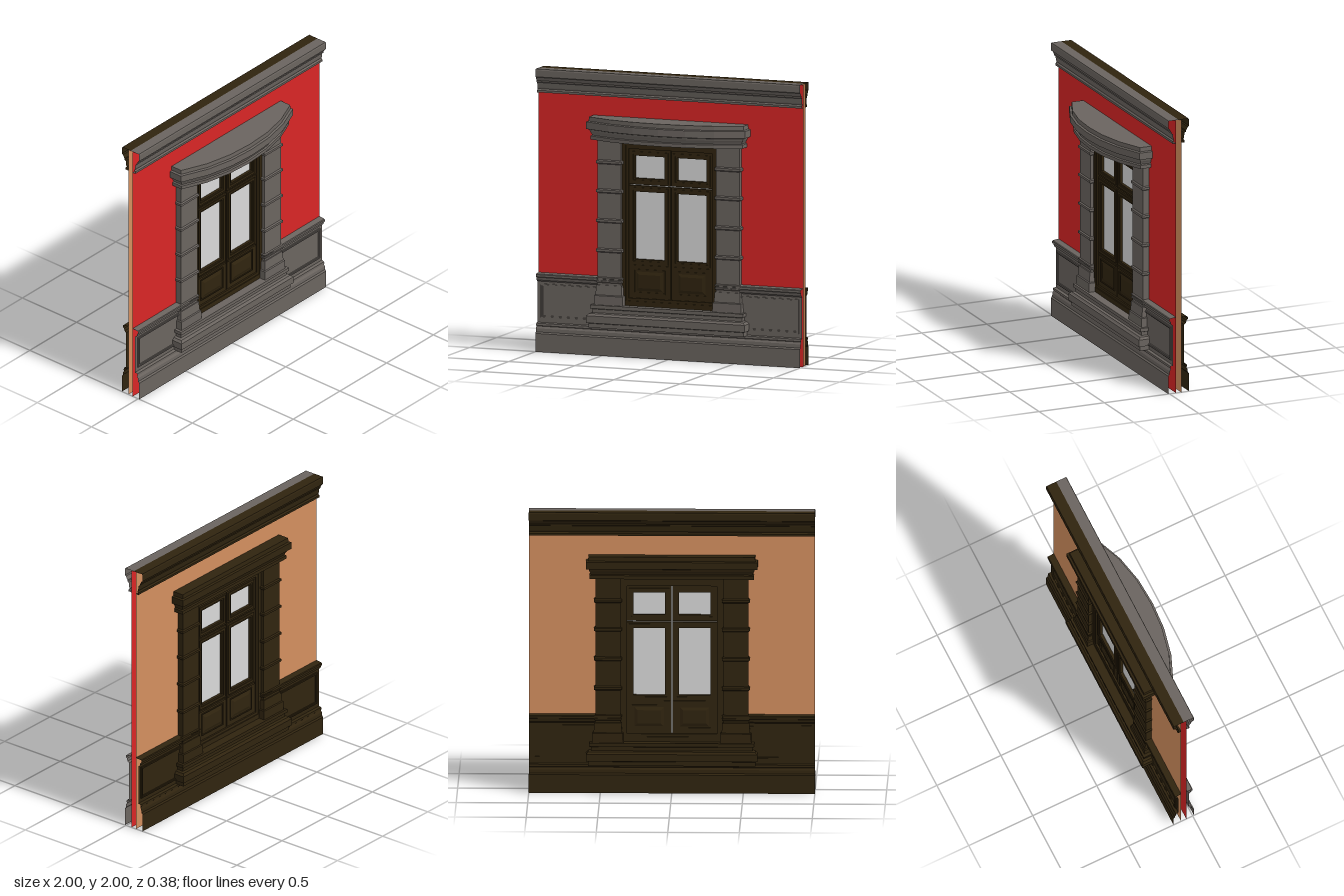
import * as THREE from 'three';

const MID = -0.07; // centre plane of the wall

const mat = (name, color) => {
  const m = new THREE.MeshStandardMaterial({ color, side: THREE.DoubleSide });
  m.name = name;
  return m;
};

function add(group, name, geometry, material) {
  const mesh = new THREE.Mesh(geometry, material);
  mesh.name = name;
  group.add(mesh);
  return mesh;
}

// Plan path [x, z] pushed outward by a distance, with mitred corners
function offsetPath(path, o) {
  const normals = path.slice(1).map(([x, z], i) => {
    const dx = x - path[i][0], dz = z - path[i][1], l = Math.hypot(dx, dz);
    return [-dz / l, dx / l];
  });
  return path.map(([x, z], i) => {
    const a = normals[Math.max(i - 1, 0)], b = normals[Math.min(i, normals.length - 1)];
    const k = o / (1 + a[0] * b[0] + a[1] * b[1]);
    return [x + (a[0] + b[0]) * k, z + (a[1] + b[1]) * k];
  });
}

// Moulding: a profile of [y, offset] swept along a plan path
function sweep(path, profile) {
  const rows = profile.map(([y, o]) => offsetPath(path, o).map(([x, z]) => [x, y, z]));
  const pos = [];
  for (let r = 0; r < rows.length - 1; r++) {
    for (let i = 0; i < path.length - 1; i++) {
      const a = rows[r][i], b = rows[r][i + 1], c = rows[r + 1][i + 1], d = rows[r + 1][i];
      pos.push(...a, ...b, ...c, ...a, ...c, ...d);
    }
  }
  const g = new THREE.BufferGeometry();
  g.setAttribute('position', new THREE.Float32BufferAttribute(pos, 3));
  g.computeVertexNormals();
  return g;
}

// Flat lid over a swept moulding
function lid(path, [y, o], up) {
  const pts = offsetPath(path, o).map(([x, z]) => new THREE.Vector2(x, up ? -z : z));
  return new THREE.ShapeGeometry(new THREE.Shape(pts))
    .rotateX(up ? -Math.PI / 2 : Math.PI / 2).translate(0, y, 0);
}

const rect = (Type, x0, y0, x1, y1) => new Type([[x0, y0], [x1, y0], [x1, y1], [x0, y1]]
  .map(([x, y]) => new THREE.Vector2(x, y)));

// Upright plate with an optional rectangular opening, from z0 to z1
function plate(outer, hole, z0, z1) {
  const s = rect(THREE.Shape, ...outer);
  if (hole) s.holes.push(rect(THREE.Path, ...hole));
  const g = z1 === undefined ? new THREE.ShapeGeometry(s)
    : new THREE.ExtrudeGeometry(s, { depth: z1 - z0, bevelEnabled: false });
  return g.translate(0, 0, z0);
}

const grow = ([a, b, c, d], t) => [a - t, b - t, c + t, d + t];
const flipX = ([a, b, c, d]) => [-c, b, -a, d];
const uPath = (x0, x1, z) => [[x0, MID], [x0, z], [x1, z], [x1, MID]];

// Profiles, bottom to top
const CORNICE = [[1.83, -0.05], [1.83, -0.025], [1.845, -0.025], [1.855, -0.035], [1.865, -0.03],
  [1.9, -0.025], [1.905, -0.015], [1.915, -0.015], [1.925, -0.008], [1.94, 0], [1.945, 0.01],
  [1.99, 0.01], [2, 0.006], [2, MID]];
const BASE = [[0, 0.01], [0.13, 0.01], [0.14, 0], [0.165, -0.002], [0.18, -0.012],
  [0.185, -0.006], [0.2, -0.008], [0.205, -0.028]];
const DADO = [[0.2, -0.028], [0.495, -0.028], [0.505, -0.014], [0.525, -0.01], [0.53, 0],
  [0.545, 0], [0.55, -0.005], [0.555, -0.05]];
const SILL = [[0.2, 0.005], [0.23, 0.005], [0.235, 0.02], [0.285, 0.02], [0.29, 0.012],
  [0.3, 0.004], [0.305, -0.015], [0.33, -0.015], [0.335, -0.003], [0.36, -0.003]];
const HOOD = [[1.53, -0.005], [1.555, -0.005], [1.56, -0.016], [1.575, -0.01], [1.585, -0.004],
  [1.6, 0], [1.605, 0.02], [1.655, 0.02], [1.66, 0.005], [1.69, 0.003]];
const POST = [[0.36, 0.021], [0.425, 0.02], [0.43, 0.012], [0.5, 0.007], [0.5, 0], [0.515, 0],
  [0.52, 0.008], [0.53, 0.008], [0.533, 0.003], [0.54, 0.003], [0.543, 0.01], [0.552, 0.01], [0.556, 0]];
for (const y of [0.745, 0.955, 1.165, 1.37]) {
  POST.push([y - 0.015, 0], [y - 0.008, 0.01], [y + 0.008, 0.01], [y + 0.015, 0]);
}
POST.push([1.53, 0]);

// One face of the wall: mouldings, posts, sill and hood
function buildTrim(trim, hoodPath) {
  const g = new THREE.Group();
  add(g, 'cornice', sweep([[-1, 0], [1, 0]], CORNICE), trim);
  add(g, 'baseMoulding', sweep([[-1, 0], [1, 0]], BASE), trim);

  const sillPath = uPath(-0.58, 0.58, 0.035);
  for (const [name, path, profile] of [['sill', sillPath, SILL], ['hood', hoodPath, HOOD]]) {
    add(g, name, sweep(path, profile), trim);
    add(g, name + 'Top', lid(path, profile.at(-1), true), trim);
    add(g, name + 'Underside', lid(path, profile[0], false), trim);
  }

  for (const s of [-1, 1]) {
    const side = s > 0 ? 'left' : 'right';
    const [x0, x1] = s > 0 ? [0.36, 0.535] : [-0.535, -0.36];
    add(g, side + 'Post', sweep(uPath(x0, x1, -0.005), POST), trim);
    add(g, side + 'Dado', sweep(s > 0 ? [[0.45, 0], [1, 0]] : [[-1, 0], [-0.45, 0]], DADO), trim);
    // stepped frame of the dado panel
    const panel = s > 0 ? [0.5, 0.235, 0.975, 0.48] : [-0.975, 0.235, -0.5, 0.48];
    add(g, side + 'PanelFrame', plate(panel, grow(panel, -0.018), -0.03, -0.021), trim);
    add(g, side + 'PanelBead', plate(grow(panel, -0.005), grow(panel, -0.012), -0.03, -0.016), trim);
  }
  return g;
}

// One face of the double door
function buildDoor(wood) {
  const g = new THREE.Group();
  const outer = [-0.37, 0.36, 0.37, 1.53], inner = [-0.315, 0.415, 0.315, 1.47];
  add(g, 'doorFrame', plate(outer, inner, -0.069, -0.036), wood);
  add(g, 'doorFrameTrim', plate(outer, grow(outer, -0.035), -0.069, -0.03), wood);

  for (const s of [-1, 1]) {
    const place = (r) => (s > 0 ? r : flipX(r));
    // upper light and lower leaf, each with a stepped surround to its glass
    for (const [name, leaf, glass] of [
      ['transom', [0.004, 1.219, 0.32, 1.475], [0.048, 1.263, 0.27, 1.422]],
      ['leaf', [0.004, 0.41, 0.32, 1.211], [0.048, 0.69, 0.27, 1.168]],
    ]) {
      const pane = place(glass);
      add(g, name, plate(place(leaf), pane, -0.069, -0.048), wood);
      add(g, name + 'Bead', plate(grow(pane, 0.03), grow(pane, 0.012), -0.069, -0.042), wood);
    }
    add(g, 'lowerRail', plate(place([0.012, 0.637, 0.305, 0.65]), null, -0.069, -0.042), wood);
    // raised bottom panel
    const panel = place([0.048, 0.458, 0.27, 0.612]);
    add(g, 'bottomPanelBead', plate(grow(panel, 0.008), panel, -0.069, -0.042), wood);
    const field = new THREE.ExtrudeGeometry(rect(THREE.Shape, ...grow(panel, -0.03)),
      { depth: 0.008, bevelThickness: 0.01, bevelSize: 0.026, bevelSegments: 1 });
    add(g, 'bottomPanel', field.translate(0, 0, -0.058), wood);
  }
  return g;
}

export function createModel() {
  const model = new THREE.Group();
  model.name = 'wallWithDoor';
  const stone = mat('greyStone', 0x6a645f);
  const brown = mat('darkBrown', 0x30240f);
  const red = mat('redPlaster', 0xd82525);
  const tan = mat('tanPlaster', 0xd38f5f);
  const glass = mat('paleGlass', 0xd8d8d8);

  // wall skins, open at the ends
  const opening = [-0.4, 0.3, 0.4, 1.56];
  add(model, 'frontWall', plate([-1, 0, 1, 1.995], opening, -0.05), red);
  add(model, 'backWall', plate([-1, 0, 1, 1.995], opening, -0.09).rotateY(Math.PI)
    .translate(0, 0, -0.18), tan);
  add(model, 'glass', plate([-0.317, 0.412, 0.317, 1.473], null, MID), glass);

  // bowed hood in front, straight hood behind
  const bow = [[-0.58, MID], [-0.58, 0.036], [-0.393, 0.113], [-0.197, 0.155], [0, 0.167],
    [0.197, 0.155], [0.393, 0.113], [0.58, 0.036], [0.58, MID]];
  const front = buildTrim(stone, bow);
  const back = buildTrim(brown, uPath(-0.58, 0.58, 0.03));
  front.name = 'frontTrim';
  back.name = 'backTrim';
  const doorFront = buildDoor(brown), doorBack = buildDoor(brown);
  doorFront.name = 'doorFront';
  doorBack.name = 'doorBack';
  for (const g of [back, doorBack]) {
    g.scale.z = -1;
    g.position.z = 2 * MID;
  }
  model.add(front, back, doorFront, doorBack);
  return model;
}
